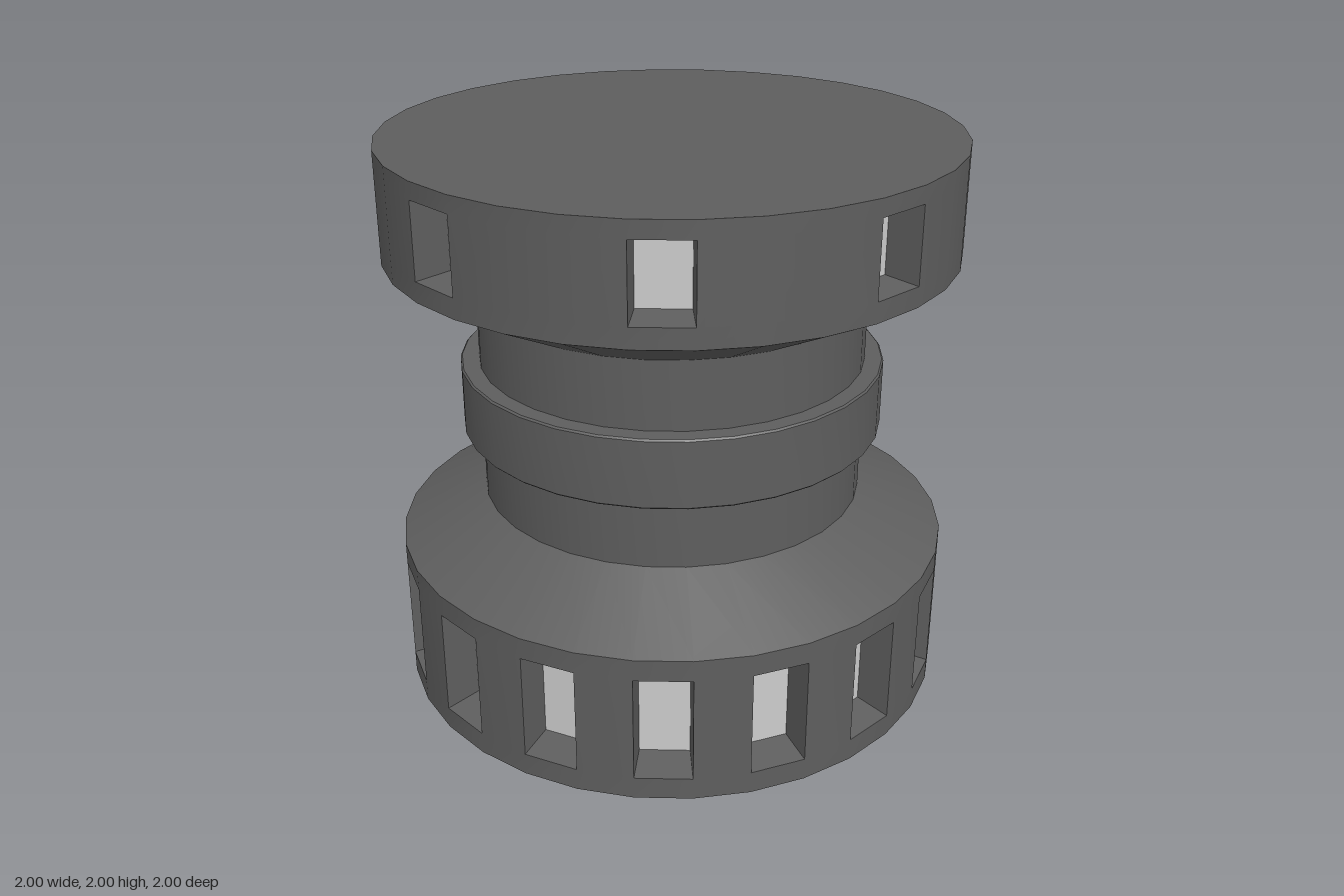
import * as THREE from 'three';
import { toCreasedNormals } from 'three/addons/utils/BufferGeometryUtils.js';

const SIDES = 32;
const RECESS = 0.875; // radius of the window panels
const dark = new THREE.MeshStandardMaterial({ color: 0x5e5e5e });
const light = new THREE.MeshStandardMaterial({ color: 0xcccccc });

const point = (i, r, y) => {
  const a = (i / SIDES) * Math.PI * 2;
  return [r * Math.sin(a), y, r * Math.cos(a)];
};

// Two triangles, corners counter-clockwise as seen from the visible side
const quad = (out, a, b, c, d) => out.push(...a, ...b, ...c, ...a, ...c, ...d);

function meshFrom(name, positions, material) {
  const geo = new THREE.BufferGeometry();
  geo.setAttribute('position', new THREE.Float32BufferAttribute(positions, 3));
  const mesh = new THREE.Mesh(toCreasedNormals(geo, 0.4), material);
  mesh.name = name;
  return mesh;
}

function lathe(name, profile) {
  const geo = new THREE.LatheGeometry(profile.map(([r, y]) => new THREE.Vector2(r, y)), SIDES);
  geo.deleteAttribute('normal');
  geo.deleteAttribute('uv');
  const mesh = new THREE.Mesh(toCreasedNormals(geo, 0.4), dark);
  mesh.name = name;
  return mesh;
}

// Drum wall with recessed windows: outer opening w0..w1, panel p0..p1
function windowedDrum(name, y0, y1, [w0, w1], [p0, p1], hasWindow) {
  const wall = [], panels = [];
  for (let i = 0; i < SIDES; i++) {
    const L = y => point(i, 1, y), R = y => point(i + 1, 1, y);
    const l = y => point(i, RECESS, y), r = y => point(i + 1, RECESS, y);
    quad(wall, L(y0), R(y0), R(w0), L(w0));
    quad(wall, L(w1), R(w1), R(y1), L(y1));
    if (!hasWindow(i)) {
      quad(wall, L(w0), R(w0), R(w1), L(w1));
      continue;
    }
    quad(wall, L(w0), R(w0), r(p0), l(p0)); // sill
    quad(wall, l(p1), r(p1), R(w1), L(w1)); // head
    quad(wall, L(w0), l(p0), l(p1), L(w1)); // left jamb
    quad(wall, r(p0), R(w0), R(w1), r(p1)); // right jamb
    quad(panels, l(p0), r(p0), r(p1), l(p1));
  }
  const group = new THREE.Group();
  group.name = name;
  group.add(meshFrom(name + 'Wall', wall, dark), meshFrom(name + 'Windows', panels, light));
  return group;
}

export function createModel() {
  const model = new THREE.Group();
  model.name = 'windowedSpool';

  // Lower drum: a window on every second facet; upper drum: on every fourth
  model.add(windowedDrum('lowerDrum', 0, 0.545, [0.08, 0.467], [0.1, 0.445], i => i % 2 === 0));
  model.add(windowedDrum('upperDrum', 1.61, 2, [1.68, 1.94], [1.69, 1.92], i => i % 4 === 2));

  // End caps
  model.add(lathe('bottomCap', [[0, 0], [1, 0]]));
  model.add(lathe('topCap', [[1, 2], [0, 2]]));

  // Shoulders and neck between the drums
  model.add(lathe('neck', [[1, 0.545], [0.69, 0.705], [0.69, 1.45], [1, 1.61]]));

  // Collar around the neck
  model.add(lathe('collar', [
    [0.69, 0.957], [0.75, 0.957], [0.756, 0.963], [0.756, 1.199], [0.75, 1.205], [0.69, 1.205],
  ]));
  return model;
}
